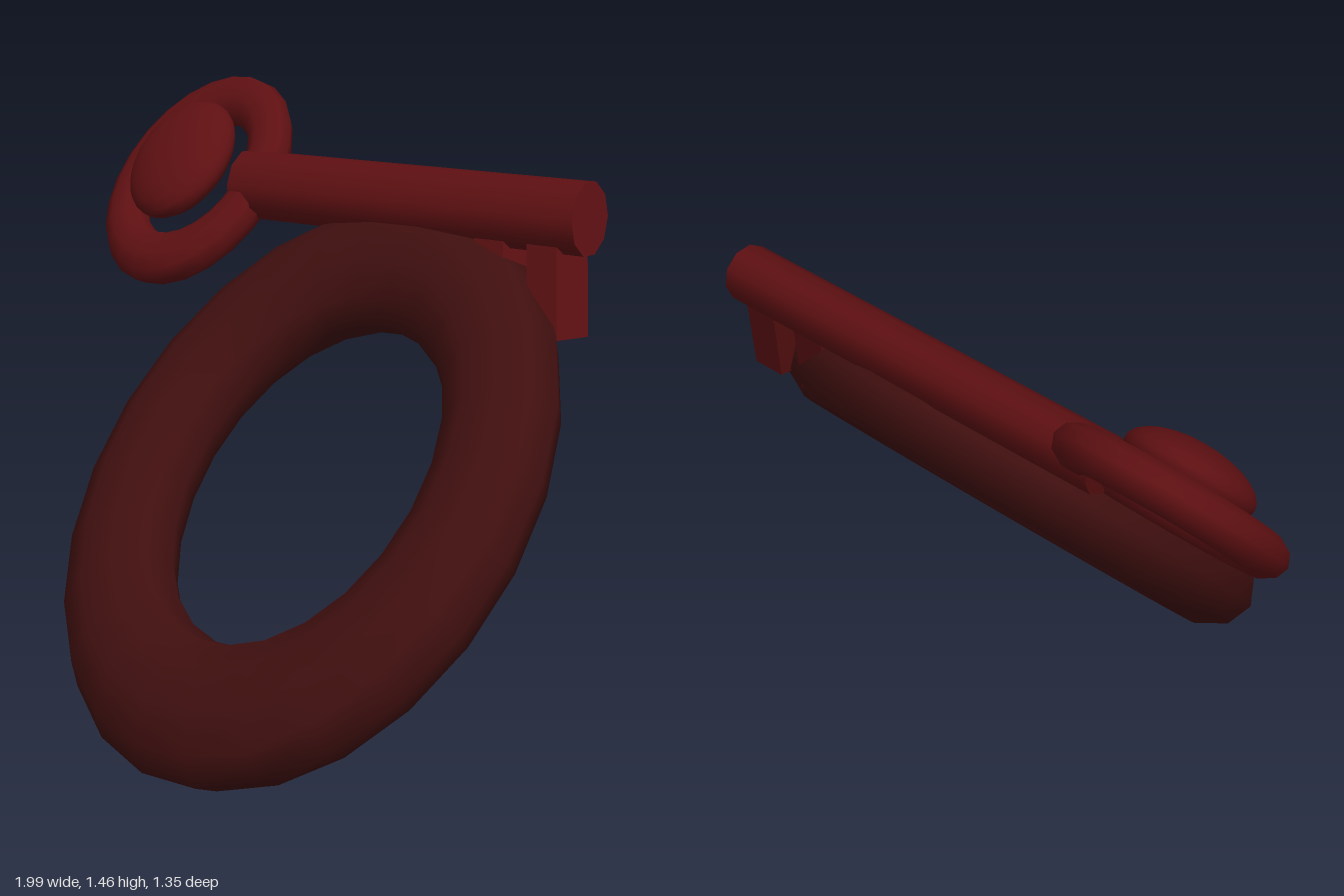
import * as THREE from 'three';

const TILT = -Math.PI / 4;   // every ring lies in a plane leaning back 45 degrees
const SKEW = -Math.PI / 3;   // direction of the long axis inside that plane

export function createModel() {
  const group = new THREE.Group();
  const darkRed = new THREE.MeshStandardMaterial({ color: 0x400f0f });
  darkRed.name = 'darkRed';
  const red = new THREE.MeshStandardMaterial({ color: 0x5e1012 });
  red.name = 'red';

  const add = (name, geometry, material) => {
    const mesh = new THREE.Mesh(geometry, material);
    mesh.name = name;
    group.add(mesh);
  };

  // Stretches a round shape into the skewed oval and leans it back
  const oval = (geometry, a, b, depth, x, y, z) =>
    geometry.scale(a, b, depth).rotateZ(SKEW).rotateX(TILT).translate(x, y, z);

  // Slants x and z along y
  const shear = (geometry, kx, kz) =>
    geometry.applyMatrix4(new THREE.Matrix4().set(
      1, kx, 0, 0,
      0, 1, 0, 0,
      0, kz, 1, 0,
      0, 0, 0, 1));

  // Large ring
  add('largeRing', oval(new THREE.TorusGeometry(1, 0.28, 10, 24),
    0.669, 0.515, 0.393, 0.285, 0.577, 0.082), darkRed);

  // Small ring at the end of the bar
  add('smallRing', oval(new THREE.TorusGeometry(1, 0.28, 10, 24),
    0.288, 0.222, 0.18, -0.69, 1.188, -0.415), red);

  // Domed stone set in the small ring
  add('dome', oval(new THREE.SphereGeometry(1, 24, 14),
    0.204, 0.157, 0.07, -0.7, 1.24, -0.368), red);

  // Round bar with slanted ends
  const bar = new THREE.CylinderGeometry(1, 1, 1.2, 10)
    .rotateZ(Math.PI / 2).scale(1, 0.098, 0.07);
  add('bar', shear(bar, -0.3, 0).rotateX(TILT).translate(0.1, 1.188, -0.415), red);

  // Two slanted teeth under the bar
  for (const [name, x] of [['outerTooth', 0.64], ['innerTooth', 0.47]]) {
    const tooth = new THREE.BoxGeometry(0.095, 0.24, 0.105);
    add(name, shear(tooth, -0.32, -0.32).translate(x, 1.04, -0.373), red);
  }

  return group;
}
